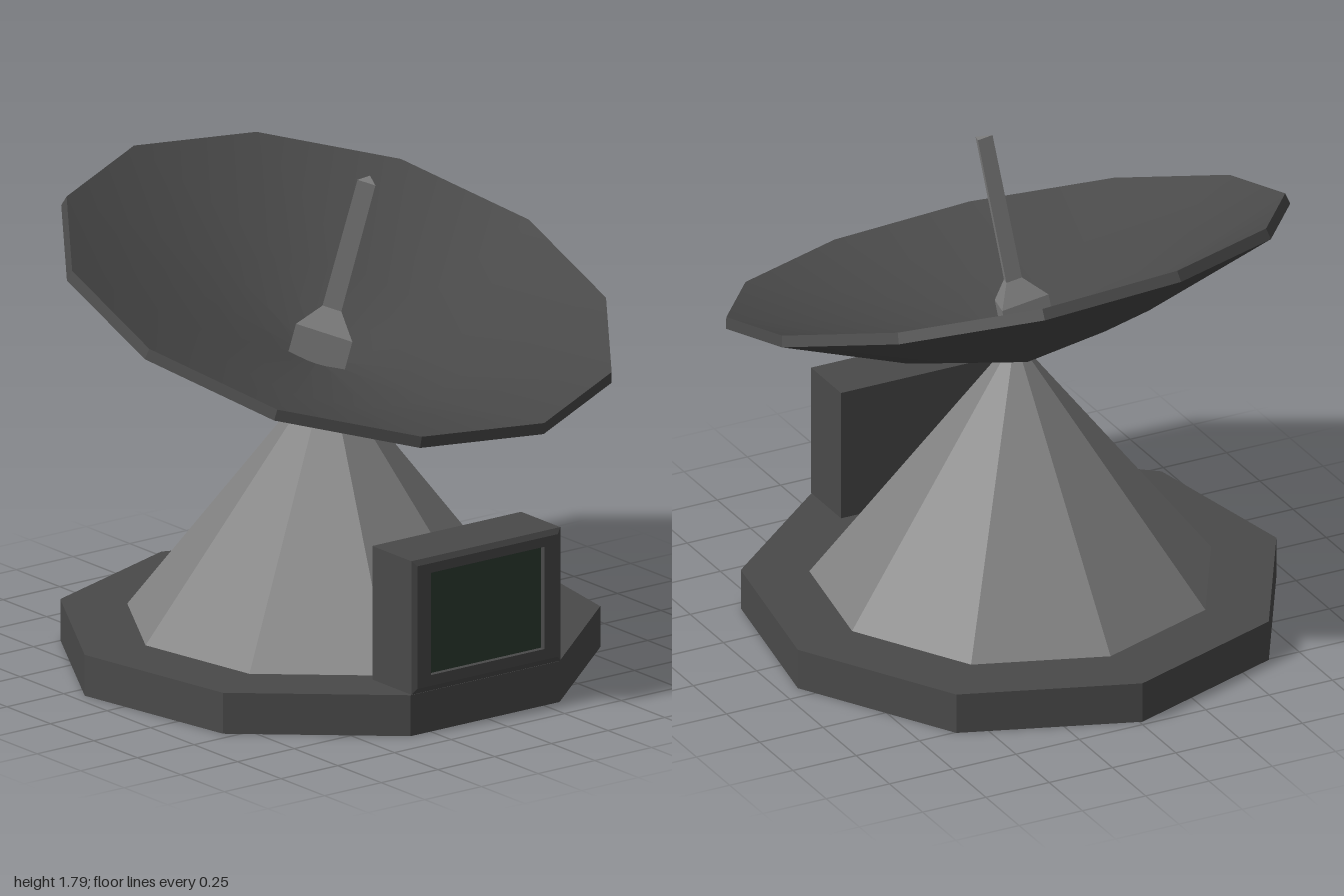
import * as THREE from 'three';

const paint = (color, extra = {}) => new THREE.MeshStandardMaterial({ color, ...extra });
const darkFlat = paint(0x4a4a4a, { flatShading: true });
const darkSmooth = paint(0x4a4a4a);
const lightFlat = paint(0x808080, { flatShading: true });

function part(name, geometry, material, parent) {
  const mesh = new THREE.Mesh(geometry, material);
  mesh.name = name;
  parent.add(mesh);
  return mesh;
}

// Surface of revolution from [radius, height] pairs
function lathe(profile, sides) {
  return new THREE.LatheGeometry(profile.map(([r, y]) => new THREE.Vector2(r, y)), sides);
}

// Rectangles [halfWidth, bottom, top, z] joined from back to front, with the back closed
function rectangleLoft(sections) {
  const loops = sections.map(([w, y0, y1, z]) => [[-w, y0, z], [w, y0, z], [w, y1, z], [-w, y1, z]]);
  const pos = [];
  const quad = (a, b, c, d) => pos.push(...a, ...b, ...c, ...a, ...c, ...d);
  for (let i = 0; i < loops.length - 1; i++) {
    for (let j = 0; j < 4; j++) {
      const k = (j + 1) % 4;
      quad(loops[i][j], loops[i][k], loops[i + 1][k], loops[i + 1][j]);
    }
  }
  const [a, b, c, d] = loops[0];
  quad(d, c, b, a);
  const geometry = new THREE.BufferGeometry();
  geometry.setAttribute('position', new THREE.Float32BufferAttribute(pos, 3));
  geometry.computeVertexNormals();
  return geometry;
}

export function createModel() {
  const model = new THREE.Group();
  model.name = 'satelliteDish';

  // Nine-sided base slab and cone, a flat side facing the front
  const base = part('base', new THREE.CylinderGeometry(0.96, 0.96, 0.15, 9), darkFlat, model);
  base.position.set(-0.01, 0.075, -0.02);
  base.rotation.y = Math.PI;
  const cone = part('pedestalCone', new THREE.CylinderGeometry(0.04, 0.72, 0.88, 9), lightFlat, model);
  cone.position.set(-0.01, 0.59, -0.02);
  cone.rotation.y = Math.PI;

  // Control box with a raised frame around a sunken screen
  const box = new THREE.Group();
  box.name = 'controlBox';
  model.add(box);
  part('boxHousing', rectangleLoft([
    [0.328, 0.15, 0.64, 0.655],
    [0.328, 0.15, 0.64, 0.88],
    [0.31, 0.17, 0.62, 0.89],
    [0.25, 0.21, 0.585, 0.89],
    [0.25, 0.21, 0.585, 0.87],
  ]), darkFlat, box);
  part('screen', new THREE.PlaneGeometry(0.5, 0.375), paint(0x2f3d33), box).position.set(0, 0.3975, 0.87);
  box.position.x = -0.005;

  // Tilted dish; its origin is the centre of the rim
  const dish = new THREE.Group();
  dish.name = 'dish';
  dish.position.set(0, 1.38, 0.03);
  dish.rotation.order = 'YXZ';
  dish.rotation.set(0.314, 0.195, 0);
  model.add(dish);
  part('dishUnderside', lathe([[0, -0.39], [0.5, -0.25], [1.015, -0.04]], 12), darkSmooth, dish);
  part('dishRim', lathe([[1.015, -0.04], [1.005, 0]], 12), darkFlat, dish);
  part('dishBowl', lathe([[1.005, 0], [0.5, -0.2], [0, -0.31]], 12), darkSmooth, dish);

  // Three-sided feed antenna with a wider foot
  part('antenna', lathe([[0.12, -0.32], [0.12, -0.17], [0.04, -0.09], [0.038, 0.43], [0, 0.43]], 3), lightFlat, dish);

  return model;
}
